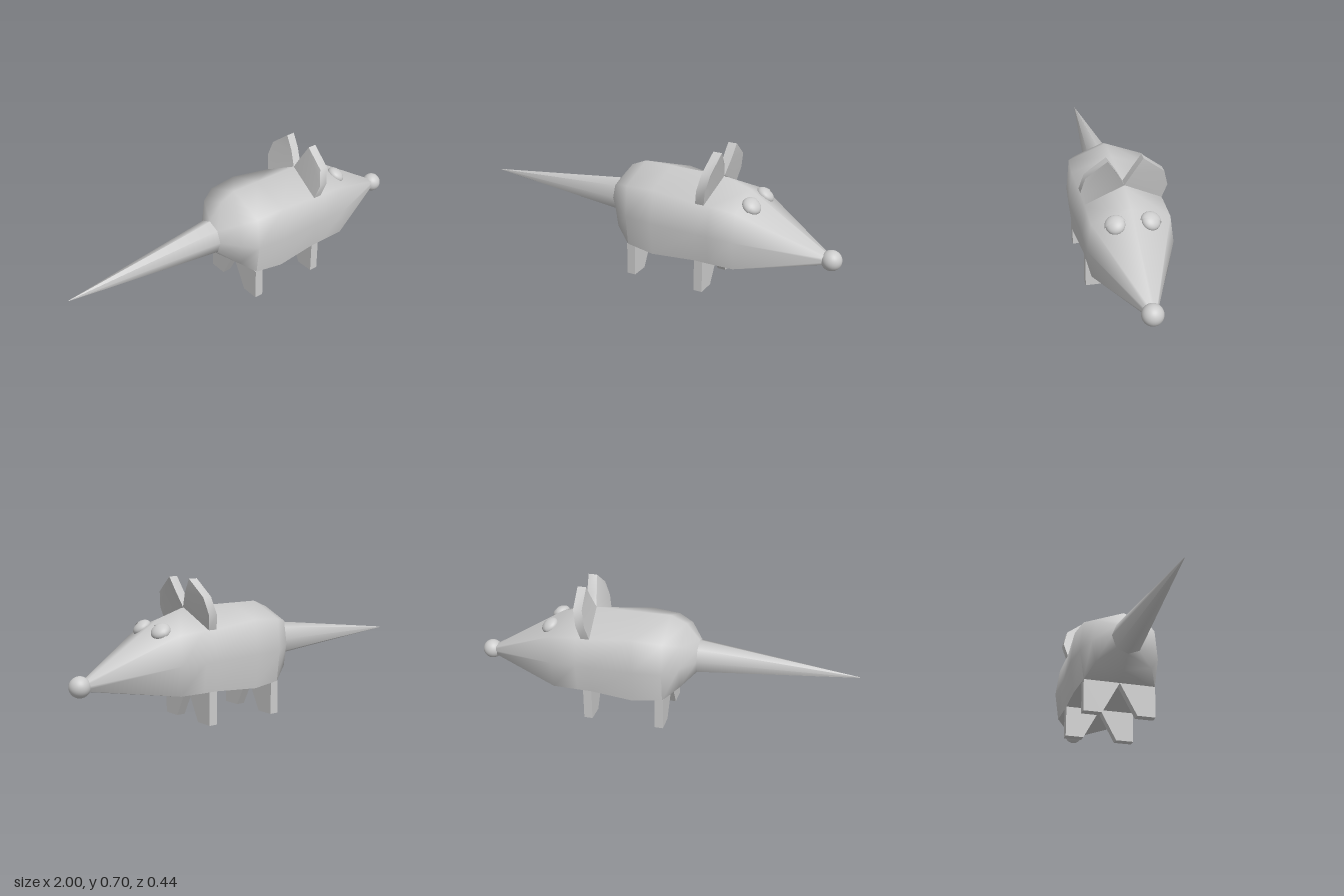
import * as THREE from 'three';
import { toCreasedNormals } from 'three/addons/utils/BufferGeometryUtils.js';

const material = new THREE.MeshStandardMaterial({ color: 0xcccccc, side: THREE.DoubleSide });

function add(parent, name, geometry) {
  const mesh = new THREE.Mesh(geometry, material);
  mesh.name = name;
  parent.add(mesh);
  return mesh;
}

// Eight-sided loft along x; row: x, top y, upper (z, y), side (z, y), lower (z, y), bottom y
function loft(rows) {
  const positions = [], index = [];
  rows.forEach(([x, top, uz, uy, sz, sy, lz, ly, bottom], i) => {
    const ring = [[0, top], [uz, uy], [sz, sy], [lz, ly], [0, bottom], [-lz, ly], [-sz, sy], [-uz, uy]];
    ring.forEach(([z, y], j) => {
      positions.push(x, y, z);
      if (i === rows.length - 1) return;
      const a = i * 8 + j, b = i * 8 + (j + 1) % 8;
      index.push(a, b, a + 8, b, b + 8, a + 8);
    });
  });
  const geometry = new THREE.BufferGeometry();
  geometry.setAttribute('position', new THREE.Float32BufferAttribute(positions, 3));
  geometry.setIndex(index);
  return toCreasedNormals(geometry, 1.2);
}

// Slab with a (z, y) outline, thickness along x, mirrored by side
function slab(outline, side, x, depth) {
  const shape = new THREE.Shape(outline.map(([z, y]) => new THREE.Vector2(-side * z, y)));
  const geometry = new THREE.ExtrudeGeometry(shape, { depth, bevelEnabled: false });
  return geometry.rotateY(Math.PI / 2).translate(x, 0, 0);
}

export function createModel() {
  const model = new THREE.Group();
  model.name = 'mouse';

  // Body and tail share the rump ring
  const rump = [-0.2, 0.435, 0.06, 0.41, 0.082, 0.35, 0.06, 0.285, 0.26];
  add(model, 'body', loft([
    rump,
    [-0.13, 0.52, 0.145, 0.46, 0.165, 0.345, 0.145, 0.23, 0.2],
    [-0.05, 0.555, 0.19, 0.48, 0.205, 0.32, 0.185, 0.165, 0.165],
    [0.1, 0.555, 0.2, 0.49, 0.22, 0.32, 0.2, 0.15, 0.145],
    [0.33, 0.555, 0.185, 0.46, 0.205, 0.31, 0.185, 0.163, 0.163],
    [0.4, 0.55, 0.185, 0.46, 0.205, 0.31, 0.185, 0.163, 0.163],
    [0.53, 0.51, 0.185, 0.45, 0.205, 0.31, 0.185, 0.165, 0.165],
    [0.95, 0.25, 0.015, 0.245, 0.02, 0.235, 0.015, 0.22, 0.215],
  ]));
  add(model, 'tail', loft([
    [-1, 0.337, 0.001, 0.336, 0.001, 0.335, 0.001, 0.334, 0.333],
    rump,
  ]));

  // Nose
  add(model, 'nose', new THREE.SphereGeometry(0.05, 32, 20)).position.set(0.95, 0.235, 0);

  const legOutline = [[0, 0.165], [0.185, 0.165], [0.185, 0], [0.09, 0]];
  const earOutline = [[0, 0.555], [0.04, 0.63], [0.083, 0.697], [0.185, 0.617], [0.207, 0.535], [0.185, 0.46]];

  for (const side of [1, -1]) {
    // Tapered legs
    add(model, 'hindLeg', slab(legOutline, side, -0.055, 0.045));
    add(model, 'frontLeg', slab(legOutline, side, 0.325, 0.045));

    // Ears lean forward with height
    const ear = slab(earOutline, side, 0.325, 0.045);
    const p = ear.attributes.position;
    for (let i = 0; i < p.count; i++) {
      const rise = THREE.MathUtils.clamp((p.getY(i) - 0.46) / 0.2, 0, 1);
      p.setX(i, p.getX(i) + 0.04 * rise);
    }
    add(model, 'ear', toCreasedNormals(ear, 0.9));

    // Flattened eyes lying on the slope of the face, lid over the back half
    const eye = new THREE.Group();
    eye.name = 'eye';
    eye.position.set(0.573, 0.46, side * 0.082);
    eye.rotation.set(side * 0.3, 0, -0.55);
    eye.scale.set(0.045, 0.029, 0.045);
    add(eye, 'eyeball', new THREE.SphereGeometry(1, 24, 16));
    add(eye, 'eyelid', new THREE.SphereGeometry(1.1, 24, 16, -Math.PI / 2, Math.PI));
    model.add(eye);
  }
  return model;
}
